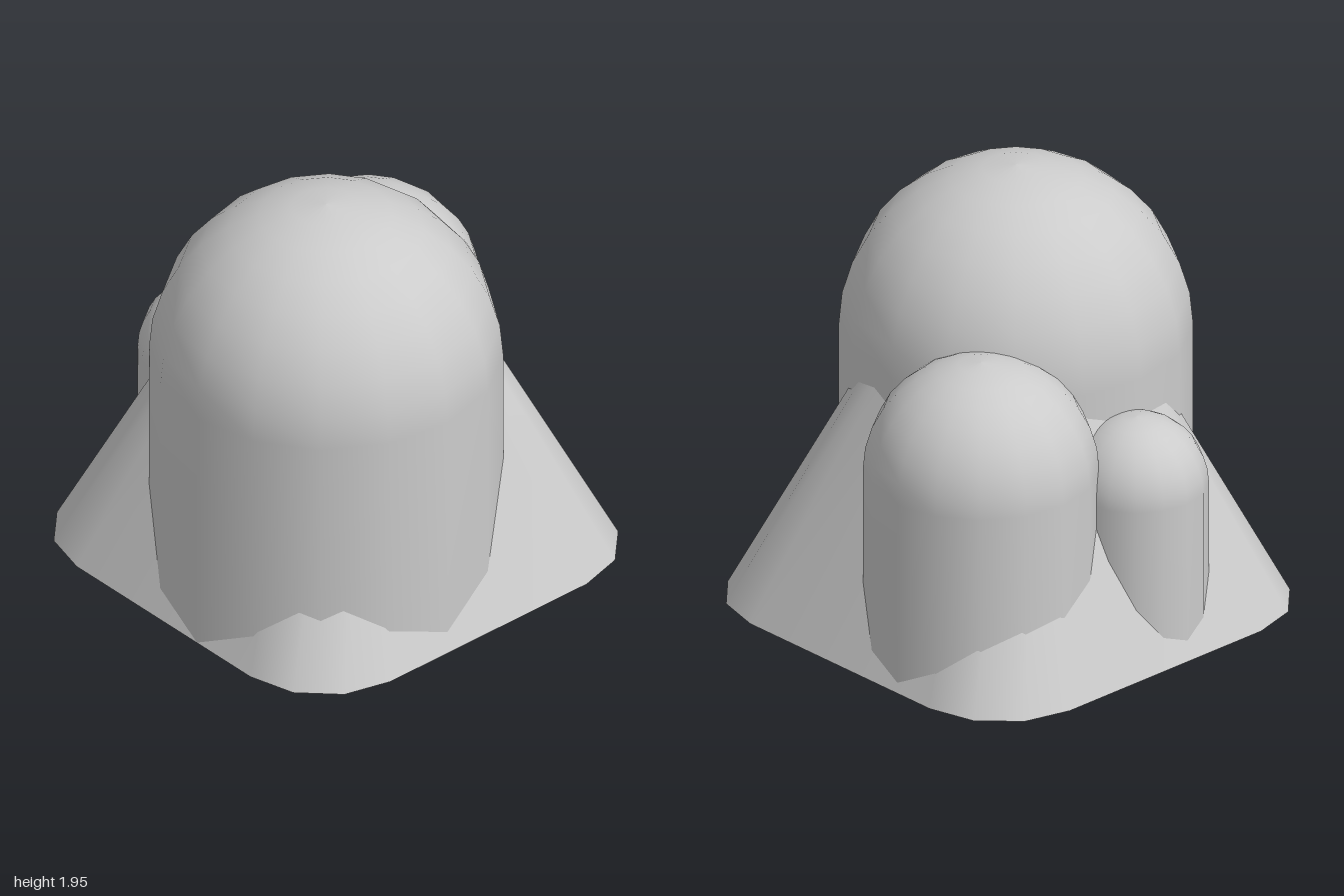
import * as THREE from 'three';
import { mergeVertices } from 'three/addons/utils/BufferGeometryUtils.js';

const material = new THREE.MeshStandardMaterial({ color: 0xcccccc, side: THREE.DoubleSide });

// Open-bottomed column with a hemispherical top
function domedColumn(name, x, z, radius, wallHeight) {
  const profile = [new THREE.Vector2(radius, 0)];
  const steps = 8;
  for (let i = 0; i <= steps; i++) {
    const a = (i / steps) * Math.PI / 2;
    profile.push(new THREE.Vector2(i === steps ? 0 : radius * Math.cos(a), wallHeight + radius * Math.sin(a)));
  }
  const mesh = new THREE.Mesh(new THREE.LatheGeometry(profile, 16, 0.03), material);
  mesh.name = name;
  mesh.position.set(x, 0, z);
  return mesh;
}

// Sloping skirt: a rounded square that shrinks evenly with height, open at both ends
function skirt() {
  const height = 1.3, taper = 0.445, corner = 0.43;
  let geometry = new THREE.CylinderGeometry(1, 1, height, 16, 1, true);
  const pos = geometry.attributes.position;
  for (let i = 0; i < pos.count; i++) {
    const step = (i % 17) % 16;
    const quadrant = Math.floor(step / 4);
    const angle = (quadrant + (step % 4) / 3) * Math.PI / 2;
    const mid = (quadrant + 0.5) * Math.PI / 2;
    const y = pos.getY(i) + height / 2;
    const scale = 1 - taper * y;
    pos.setXYZ(i,
      scale * (Math.sign(Math.sin(mid)) * (1 - corner) + corner * Math.sin(angle)),
      y,
      scale * (Math.sign(Math.cos(mid)) * (1 - corner) + corner * Math.cos(angle)));
  }
  geometry.deleteAttribute('normal');
  geometry.deleteAttribute('uv');
  geometry = mergeVertices(geometry);
  geometry.computeVertexNormals();
  const mesh = new THREE.Mesh(geometry, material);
  mesh.name = 'baseSkirt';
  return mesh;
}

export function createModel() {
  const group = new THREE.Group();
  group.name = 'domedColumns';
  group.add(
    skirt(),
    domedColumn('largeColumn', -0.23, 0.195, 0.77, 1.175),
    domedColumn('mediumColumn', 0.47, -0.33, 0.513, 0.9),
    domedColumn('smallColumn', -0.155, -0.65, 0.315, 0.74),
  );
  return group;
}
